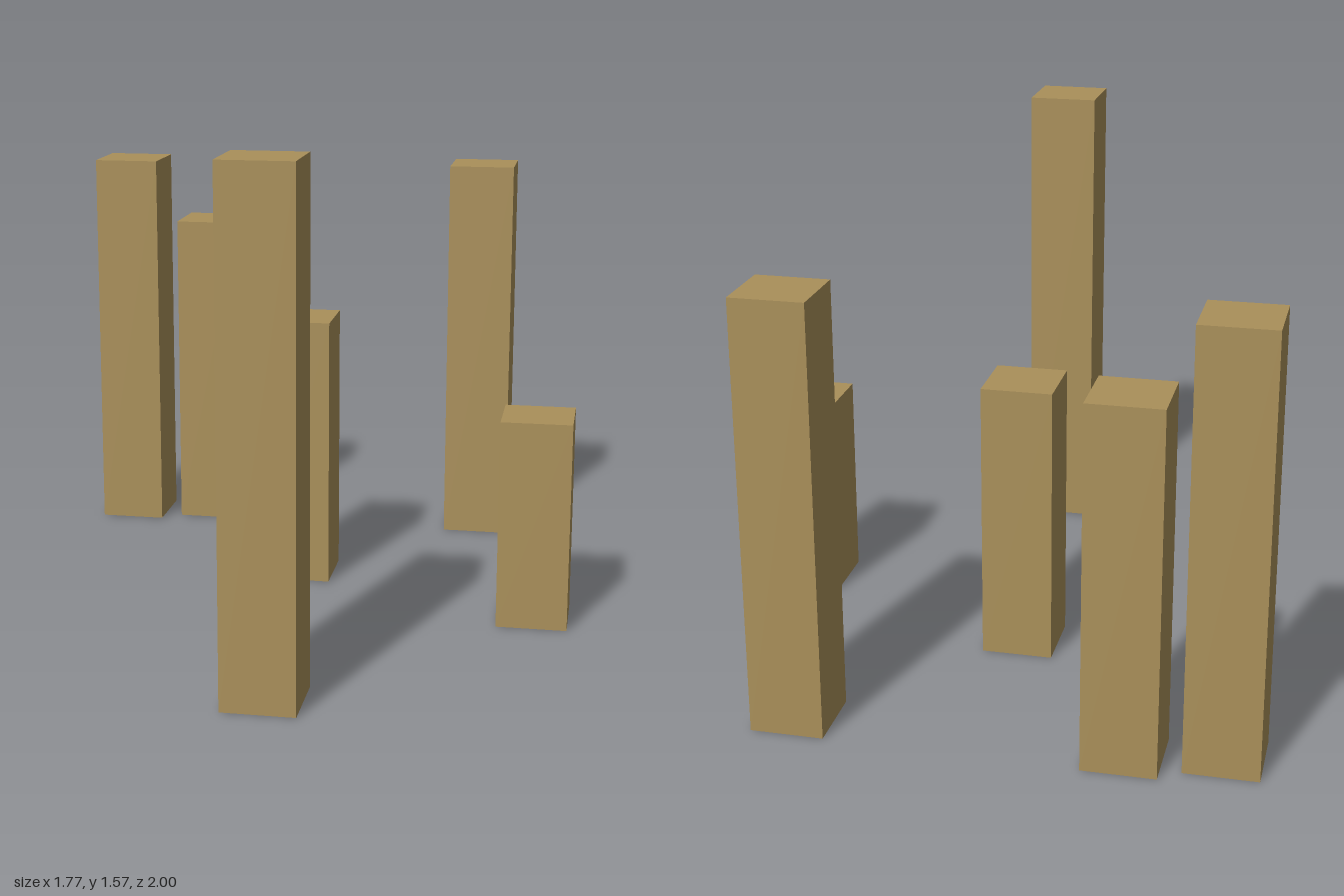
import * as THREE from 'three';

export function createModel() {
  const group = new THREE.Group();
  const wood = new THREE.MeshStandardMaterial({ color: 0xaa905a });
  wood.name = 'tan wood';

  // Square posts: each height is a whole multiple of the post width
  const width = 0.2245;
  const posts = [
    // name, x, z, height in widths
    ['backRightPost', -0.775, -0.838, 6],
    ['backInnerPost', -0.487, -0.888, 5],
    ['backLeftPost', 0.51, -0.883, 6],
    ['centrePost', -0.043, -0.247, 4],
    ['leftPost', 0.774, 0.077, 3],
    ['frontPost', 0.051, 0.888, 7],
  ];
  for (const [name, x, z, units] of posts) {
    const height = units * width;
    const post = new THREE.Mesh(new THREE.BoxGeometry(width, height, width), wood);
    post.name = name;
    post.position.set(x, height / 2, z);
    group.add(post);
  }
  return group;
}
